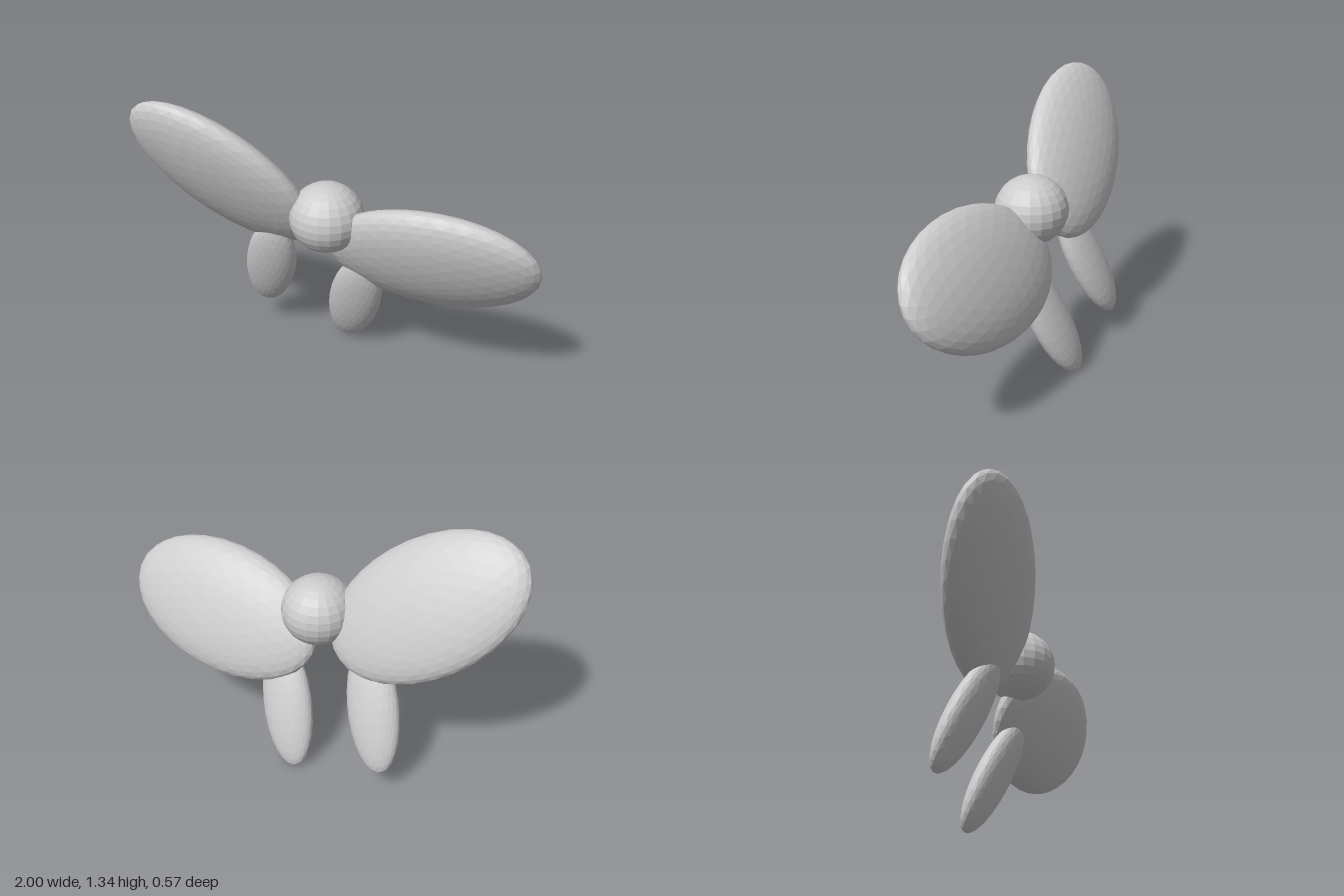
import * as THREE from 'three';

const grey = new THREE.MeshStandardMaterial({ color: 0xcccccc, flatShading: true });
grey.name = 'plain grey';

// Tilted ellipsoid: half = [x, y, z] half extents, lean = [xy, xz, yz] tilt terms.
// The unit sphere is sheared by the triangular root of the resulting shape matrix.
function ellipsoid(name, centre, half, lean, detail) {
  const [xx, yy, zz] = half.map((h) => h * h);
  const [xy, xz, yz] = lean;
  const a = Math.sqrt(xx);
  const b = xy / a;
  const c = Math.sqrt(yy - b * b);
  const d = xz / a;
  const e = (yz - d * b) / c;
  const f = Math.sqrt(zz - d * d - e * e);
  const geometry = new THREE.IcosahedronGeometry(1.005, detail);
  geometry.applyMatrix4(new THREE.Matrix4().set(
    a, 0, 0, 0,
    b, c, 0, 0,
    d, e, f, 0,
    0, 0, 0, 1,
  ));
  const mesh = new THREE.Mesh(geometry, grey);
  mesh.name = name;
  mesh.position.set(...centre);
  return mesh;
}

export function createModel() {
  const bow = new THREE.Group();
  bow.name = 'bow';

  // Round knot in the middle
  const knot = new THREE.Mesh(new THREE.SphereGeometry(1, 20, 14), grey);
  knot.name = 'knot';
  knot.scale.set(0.18, 0.17, 0.18);
  knot.position.set(-0.025, 0.81, 0.03);
  bow.add(knot);

  // Two large flattened loops
  bow.add(ellipsoid('rightLoop', [-0.55, 0.963, -0.01], [0.45, 0.377, 0.19], [-0.088, 0.006, 0.0415], 5));
  bow.add(ellipsoid('leftLoop', [0.485, 0.67, 0.077], [0.515, 0.3, 0.207], [0.012, 0.05, 0.039], 5));

  // Two matching ribbon tails hanging down and back
  const tails = { rightTail: [-0.362, 0.425, -0.148], leftTail: [0.0875, 0.295, -0.108] };
  for (const [name, centre] of Object.entries(tails)) {
    bow.add(ellipsoid(name, centre, [0.1475, 0.295, 0.14], [0.0177, 0.0095, 0.034], 4));
  }
  return bow;
}
